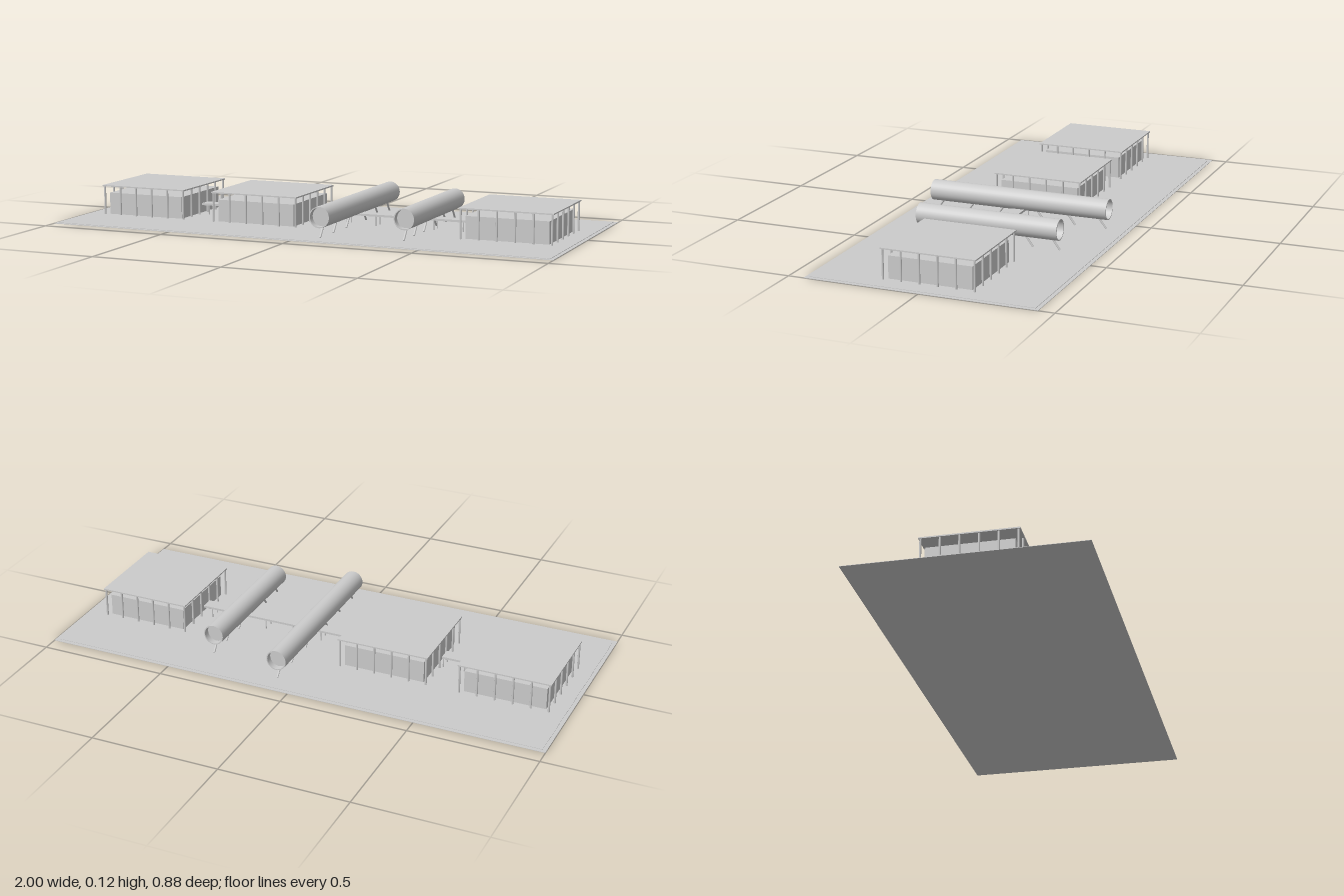
import * as THREE from 'three';

const grey = new THREE.MeshStandardMaterial({ color: 0xcccccc });
const greyDouble = new THREE.MeshStandardMaterial({ color: 0xcccccc, side: THREE.DoubleSide });

function add(parent, name, geometry, x, y, z, material = grey) {
  const mesh = new THREE.Mesh(geometry, material);
  mesh.name = name;
  mesh.position.set(x, y, z);
  parent.add(mesh);
  return mesh;
}

// Box given by its bottom and top heights
function slab(parent, name, w, d, y0, y1, x = 0, z = 0) {
  return add(parent, name, new THREE.BoxGeometry(w, y1 - y0, d), x, (y0 + y1) / 2, z);
}

// Round bar between two points
function bar(parent, name, a, b, r) {
  const dir = b.clone().sub(a);
  const mid = a.clone().add(b).multiplyScalar(0.5);
  const mesh = add(parent, name, new THREE.CylinderGeometry(r, r, dir.length(), 8), mid.x, mid.y, mid.z);
  mesh.quaternion.setFromUnitVectors(new THREE.Vector3(0, 1, 0), dir.normalize());
  return mesh;
}

const GROUND = 0.003;

// Flat-roofed hall surrounded by a colonnade
function pavilion(x) {
  const g = new THREE.Group();
  g.name = 'pavilion';
  g.position.x = x;
  slab(g, 'hall', 0.32, 0.32, GROUND, 0.088);
  slab(g, 'roof', 0.362, 0.362, 0.115, 0.12);
  const n = 5, half = 0.174;
  for (let i = 0; i <= n; i++) {
    for (let j = 0; j <= n; j++) {
      if (i > 0 && i < n && j > 0 && j < n) continue;
      const px = -half + (2 * half * i) / n;
      const pz = -half + (2 * half * j) / n;
      bar(g, 'column', new THREE.Vector3(px, GROUND, pz), new THREE.Vector3(px, 0.116, pz), 0.0042);
    }
  }
  return g;
}

// Raised deck on paired posts
function walkway(x0, x1, postXs) {
  const g = new THREE.Group();
  g.name = 'walkway';
  slab(g, 'deck', x1 - x0, 0.05, 0.039, 0.047, (x0 + x1) / 2);
  for (const x of postXs) {
    for (const z of [-0.021, 0.021]) {
      bar(g, 'deckPost', new THREE.Vector3(x, GROUND, z), new THREE.Vector3(x, 0.041, z), 0.0025);
    }
  }
  return g;
}

// Horizontal tube with recessed ends, standing on splayed legs
function tube(x, halfLength, feet) {
  const g = new THREE.Group();
  g.name = 'tubeBuilding';
  g.position.x = x;
  const r = 0.04, ri = 0.036, cy = 0.08, recess = 0.025;
  const shell = add(g, 'tubeShell', new THREE.CylinderGeometry(r, r, 2 * halfLength, 32, 1, true), 0, cy, 0, greyDouble);
  shell.rotation.x = Math.PI / 2;
  for (const s of [-1, 1]) {
    const lining = add(g, 'tubeLining', new THREE.CylinderGeometry(ri, ri, recess, 32, 1, true),
      0, cy, s * (halfLength - recess / 2), greyDouble);
    lining.rotation.x = Math.PI / 2;
    add(g, 'tubeRim', new THREE.RingGeometry(ri, r, 32), 0, cy, s * halfLength, greyDouble);
    add(g, 'endWall', new THREE.CircleGeometry(ri, 32), 0, cy, s * (halfLength - recess), greyDouble);
    for (const z of feet) {
      bar(g, 'tubeLeg', new THREE.Vector3(0, GROUND, s * z), new THREE.Vector3(0, 0.044, s * (z - 0.031)), 0.004);
    }
  }
  return g;
}

export function createModel() {
  const model = new THREE.Group();
  model.name = 'pavilionComplex';

  // Ground plate with a slightly inset upper layer
  slab(model, 'groundPlate', 2, 0.88, 0, 0.0015);
  slab(model, 'groundTop', 1.97, 0.85, 0.001, GROUND);

  for (const x of [-0.75, -0.27, 0.742]) model.add(pavilion(x));

  model.add(walkway(-0.57, -0.45, [-0.54, -0.455]));
  model.add(walkway(-0.09, 0.562, [-0.064, 0.054, 0.172, 0.29, 0.408, 0.526]));

  model.add(tube(0.083, 0.36, [0.35, 0.225, 0.1]));
  model.add(tube(0.386, 0.28, [0.28, 0.175, 0.07]));
  return model;
}
